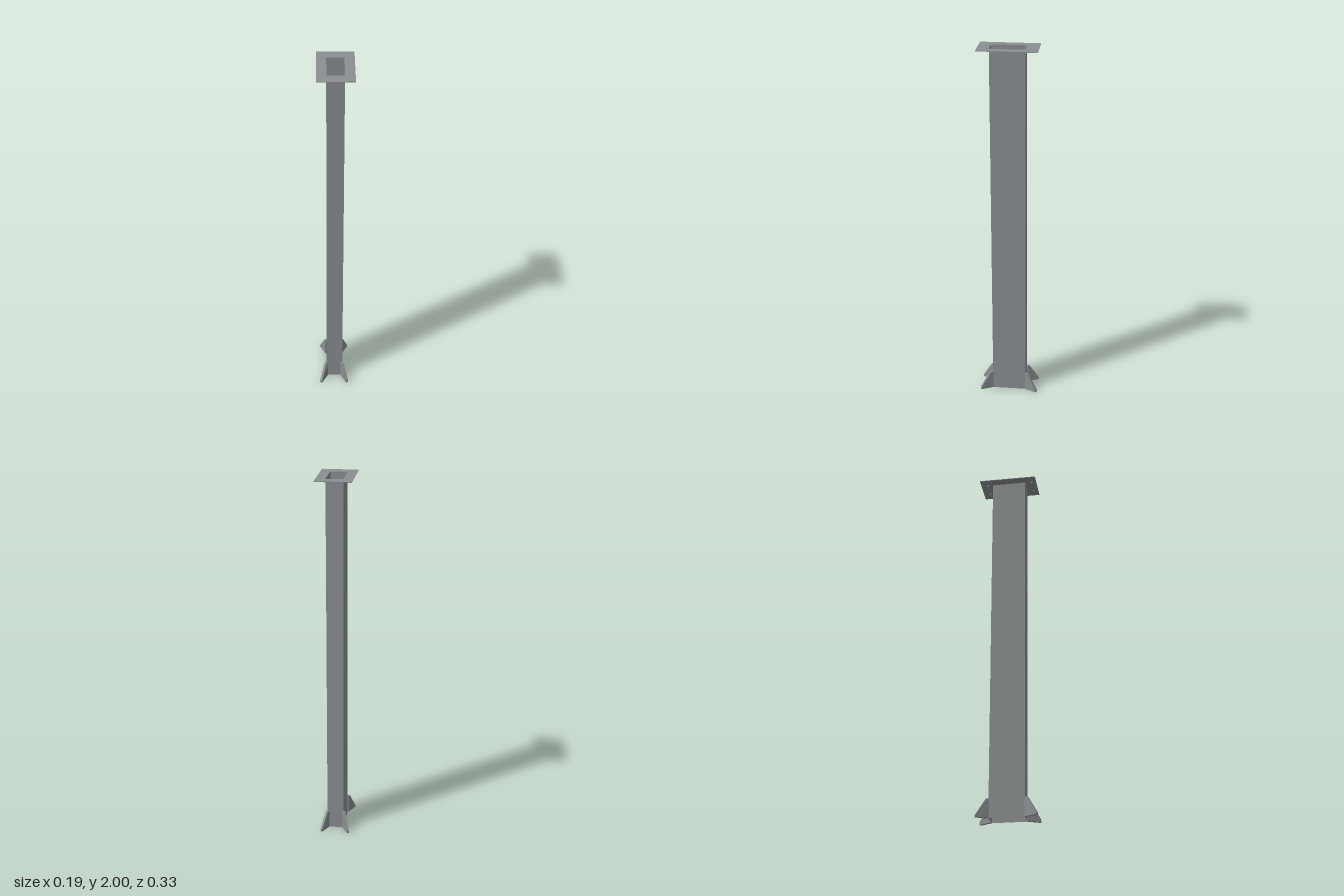
import * as THREE from 'three';

const steel = new THREE.MeshStandardMaterial({ color: 0x8b9092, side: THREE.DoubleSide });
steel.name = 'steel grey';

function add(parent, name, geometry) {
  const mesh = new THREE.Mesh(geometry, steel);
  mesh.name = name;
  parent.add(mesh);
  return mesh;
}

// Rectangular tube, open at both ends and leaning slightly
function ductGeometry() {
  const g = new THREE.BoxGeometry(0.092, 1.999, 0.188);
  const index = Array.from(g.index.array);
  g.setIndex([...index.slice(0, 12), ...index.slice(24, 36)]); // drop the end caps
  g.clearGroups();
  g.translate(0, 0.9995, 0);
  const p = g.attributes.position;
  for (let i = 0; i < p.count; i++) {
    const t = p.getY(i) / 2;
    p.setX(i, p.getX(i) - 0.009 + 0.008 * t);
    p.setZ(i, p.getZ(i) - 0.006 + 0.012 * t);
  }
  g.computeVertexNormals();
  return g;
}

// Thin flange with a rectangular opening
function flangeGeometry() {
  const rect = (path, x0, x1, z0, z1) => {
    path.moveTo(x0, -z0).lineTo(x1, -z0).lineTo(x1, -z1).lineTo(x0, -z1).closePath();
    return path;
  };
  const shape = rect(new THREE.Shape(), -0.098, 0.097, -0.156, 0.164);
  shape.holes.push(rect(new THREE.Path(), -0.047, 0.045, -0.088, 0.1));
  const g = new THREE.ExtrudeGeometry(shape, { depth: 0.003, bevelEnabled: false });
  g.rotateX(-Math.PI / 2);
  g.translate(0, 1.997, 0);
  return g;
}

// Gusset profile: tall at the tube, sloping down to a blunt toe
function finGeometry() {
  const profile = [[0, 0], [0.073, 0], [0.073, 0.012], [0.016, 0.102], [0, 0.102]];
  const shape = new THREE.Shape(profile.map(([x, y]) => new THREE.Vector2(x, y)));
  const g = new THREE.ExtrudeGeometry(shape, { depth: 0.0135, bevelEnabled: false });
  g.translate(0, 0, -0.00675);
  return g;
}

export function createModel() {
  const model = new THREE.Group();
  model.name = 'flangedPost';

  add(model, 'duct', ductGeometry());
  add(model, 'flange', flangeGeometry());

  // Splayed foot at each lower corner
  const fin = finGeometry();
  for (const sx of [-1, 1]) {
    for (const sz of [-1, 1]) {
      const foot = add(model, 'foot', fin);
      foot.position.set(-0.011 + sx * 0.043, 0, -0.004 + sz * 0.094);
      foot.rotation.y = Math.atan2(-sz * 0.89, sx * 0.45);
    }
  }

  // Short studs under the flange
  const stud = new THREE.CylinderGeometry(0.006, 0.006, 0.01, 12);
  for (const x of [-0.045, 0.043]) {
    for (const z of [-0.118, 0.14]) {
      add(model, 'stud', stud).position.set(x, 1.993, z);
    }
  }
  return model;
}
